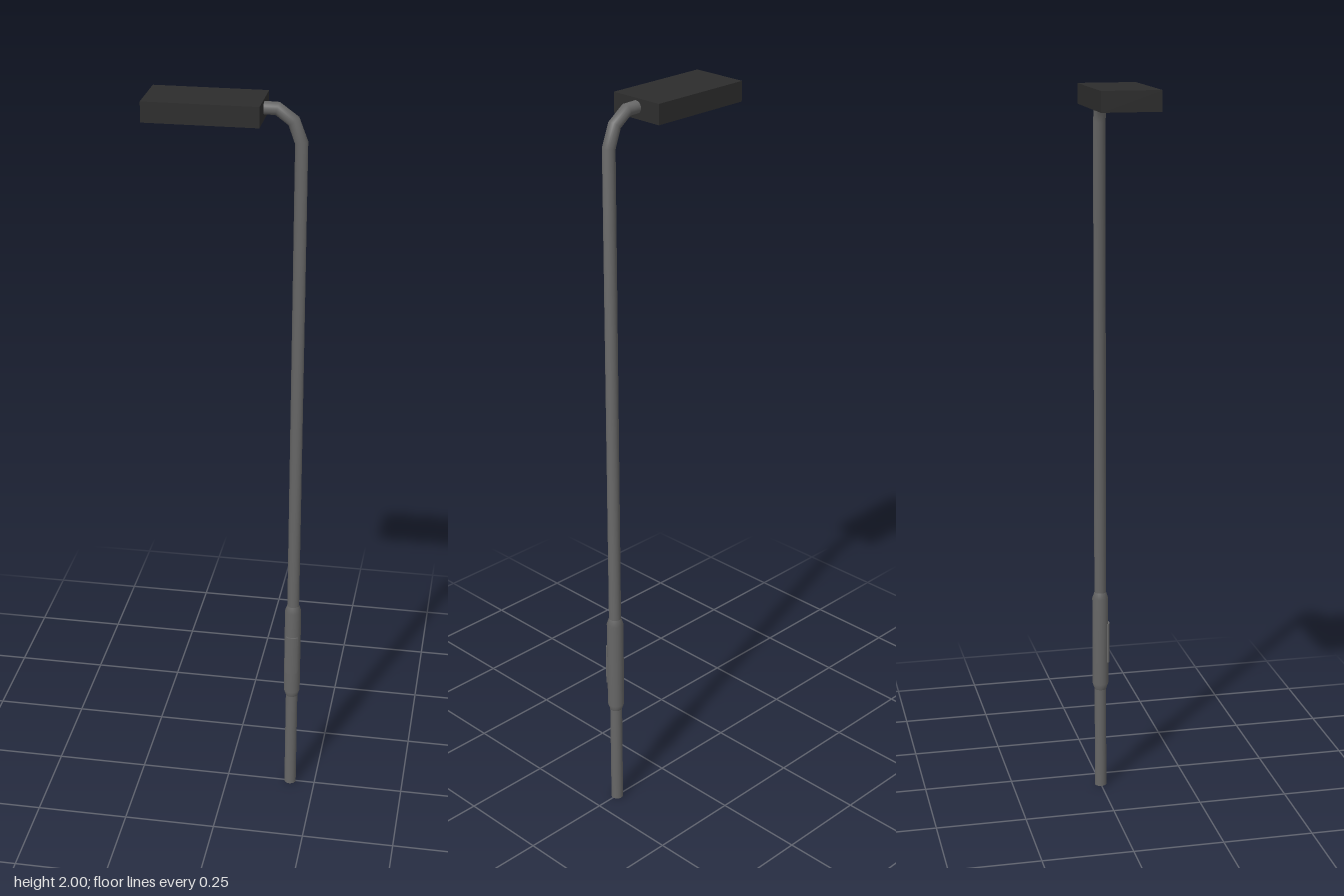
import * as THREE from 'three';

const POLE_X = 0.18;
const SIDES = 24;

export function createModel() {
  const lamp = new THREE.Group();
  lamp.name = 'streetLight';
  const steel = new THREE.MeshStandardMaterial({ color: 0x666666 });
  const steelShell = new THREE.MeshStandardMaterial({ color: 0x666666, side: THREE.DoubleSide });
  const dark = new THREE.MeshStandardMaterial({ color: 0x2d2d2d });

  const add = (name, geometry, material, x, y, z = 0) => {
    const mesh = new THREE.Mesh(geometry, material);
    mesh.name = name;
    mesh.position.set(x, y, z);
    lamp.add(mesh);
    return mesh;
  };

  // Pole and bent arm: a cylinder whose rings are moved to stations [x, y, tilt in degrees]
  const stations = [
    [0, 0, 0], [0, 1.895, 11], [-0.02, 1.948, 38], [-0.06, 1.977, 73], [-0.12, 1.978, 90],
  ];
  const last = stations.length - 1;
  const pole = new THREE.CylinderGeometry(0.0165, 0.0165, last, SIDES, last);
  const pos = pole.attributes.position;
  const nor = pole.attributes.normal;
  const axis = new THREE.Vector3(0, 0, 1);
  const v = new THREE.Vector3();
  for (let i = 0; i < pos.count; i++) {
    const [x, y, tilt] = stations[Math.round(pos.getY(i) + last / 2)];
    const angle = THREE.MathUtils.degToRad(tilt);
    v.set(pos.getX(i), 0, pos.getZ(i)).applyAxisAngle(axis, angle);
    pos.setXYZ(i, v.x + x, v.y + y, v.z);
    v.fromBufferAttribute(nor, i).applyAxisAngle(axis, angle);
    nor.setXYZ(i, v.x, v.y, v.z);
  }
  add('poleAndArm', pole, steel, POLE_X, 0);

  // Thicker service sleeve with tapered ends
  const sleeve = [[0.0165, 0.297], [0.0225, 0.315], [0.0225, 0.57], [0.0165, 0.588]]
    .map(([r, y]) => new THREE.Vector2(r, y));
  add('serviceSleeve', new THREE.LatheGeometry(sleeve, SIDES), steel, POLE_X, 0);

  // Curved access door on the front of the sleeve: an arc band with thickness
  const half = 0.72;
  const door = new THREE.Shape();
  door.absarc(0, 0, 0.0262, -Math.PI / 2 - half, -Math.PI / 2 + half, false);
  door.absarc(0, 0, 0.021, -Math.PI / 2 + half, -Math.PI / 2 - half, true);
  door.closePath();
  const doorGeometry = new THREE.ExtrudeGeometry(door, { depth: 0.115, bevelEnabled: false, curveSegments: 10 });
  doorGeometry.rotateX(-Math.PI / 2);
  add('accessDoor', doorGeometry, steelShell, POLE_X, 0.38);

  // Flat box lamp head
  add('lampHead', new THREE.BoxGeometry(0.291, 0.052, 0.153), dark, -0.058, 1.974);

  return lamp;
}
